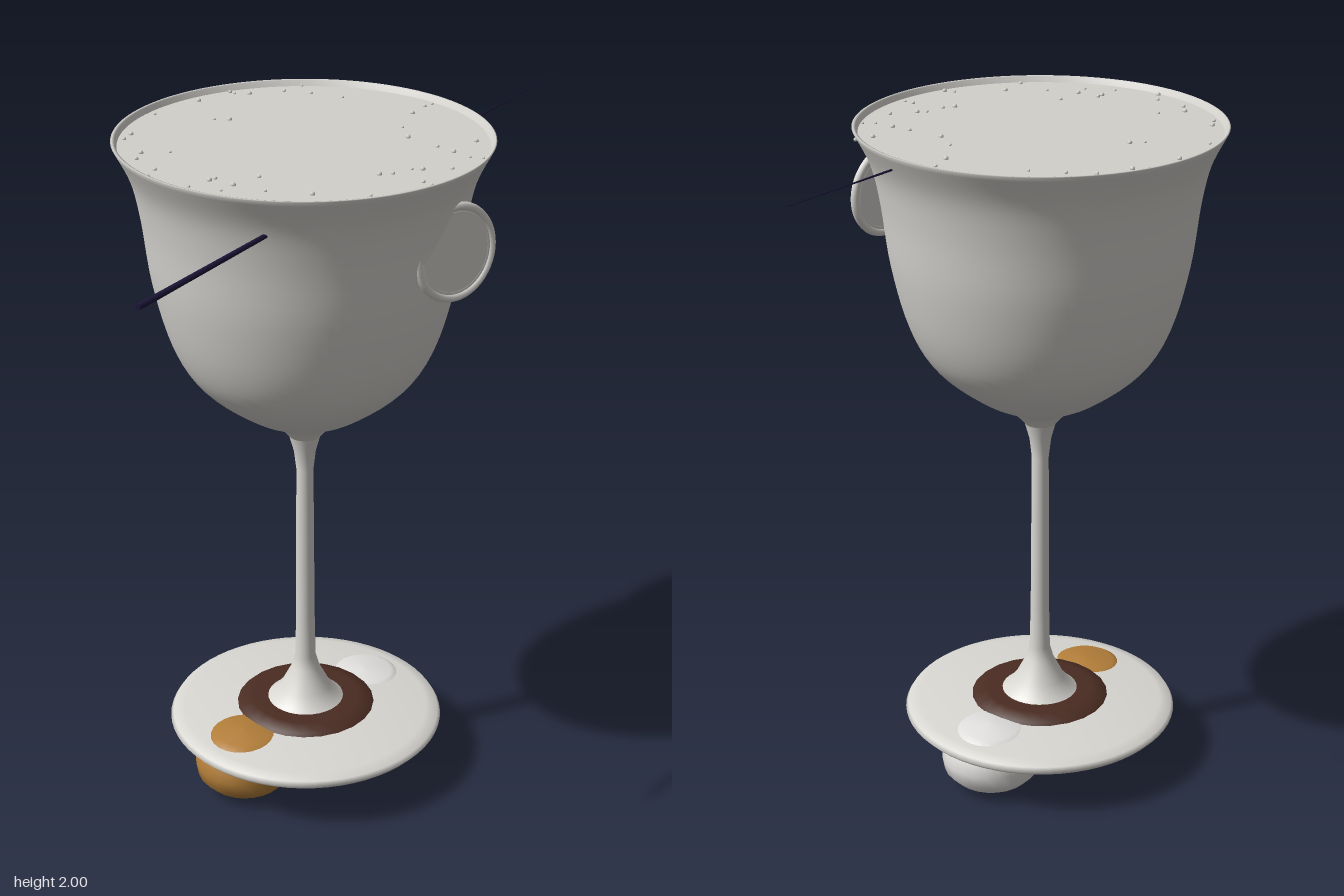
import * as THREE from 'three';

const mat = (name, color) => new THREE.MeshStandardMaterial({ name, color });

export function createModel() {
  const glass = mat('pale glass', 0xd9d7d2);
  const drink = mat('pale drink', 0xd2d0cb);
  const brown = mat('dark brown', 0x4a2c22);
  const gold = mat('amber', 0xb47f3a);
  const white = mat('white', 0xe2e0de);
  const navy = mat('dark navy', 0x1c1638);

  const root = new THREE.Group();
  const cup = new THREE.Group();
  cup.name = 'goblet';
  cup.position.x = -0.06;
  root.add(cup);

  const add = (parent, name, geometry, material, x = 0, y = 0, z = 0) => {
    const m = new THREE.Mesh(geometry, material);
    m.name = name;
    m.position.set(x, y, z);
    parent.add(m);
    return m;
  };
  const lathe = (pts, seg = 64) =>
    new THREE.LatheGeometry(pts.map(([r, y]) => new THREE.Vector2(r, y)), seg);

  // Bowl: smooth outer curve, thin rim, then a short inner wall
  const curve = new THREE.SplineCurve([
    [0.045, 1.10], [0.09, 1.145], [0.19, 1.2], [0.31, 1.3], [0.378, 1.42],
    [0.425, 1.6], [0.449, 1.78], [0.475, 1.9], [0.522, 1.998],
  ].map(([r, y]) => new THREE.Vector2(r, y)));
  const outer = curve.getPoints(40).map((p) => [p.x, p.y]);
  add(cup, 'bowl', lathe([...outer, [0.518, 2], [0.511, 1.998], [0.495, 1.95]], 96), glass);

  // Stem with flared ends
  add(cup, 'stem', lathe([
    [0.13, 0.205], [0.105, 0.22], [0.075, 0.255], [0.042, 0.32], [0.031, 0.36],
    [0.028, 0.5], [0.025, 0.99], [0.032, 1.05], [0.047, 1.105],
  ], 32), glass);

  // Thin rounded foot
  add(cup, 'foot', lathe([
    [0, 0.14], [0.37, 0.138], [0.4, 0.146], [0.413, 0.16], [0.405, 0.173],
    [0.37, 0.183], [0.25, 0.192], [0.12, 0.202], [0, 0.204],
  ]), glass);

  // Pebbles set through the foot
  add(cup, 'centrePebble', lathe([
    [0, 0.005], [0.13, 0.005], [0.16, 0.014], [0.225, 0.052], [0.25, 0.125],
    [0.235, 0.17], [0.2, 0.203], [0.16, 0.214], [0, 0.215],
  ], 24), brown);
  const pebble = lathe([
    [0, 0.02], [0.09, 0.021], [0.115, 0.03], [0.143, 0.06], [0.15, 0.1],
    [0.143, 0.14], [0.12, 0.175], [0.085, 0.197], [0, 0.203],
  ], 24);
  add(cup, 'amberPebble', pebble, gold, -0.25);
  add(cup, 'whitePebble', pebble, white, 0.25);

  // Drink surface
  const surface = add(cup, 'drinkSurface', new THREE.CircleGeometry(0.506, 96), drink, 0, 1.982, 0);
  surface.rotation.x = -Math.PI / 2;

  // Bubbles gathered near the rim (x, z)
  const spots = [
    -.20, -.46, -.03, -.47, .09, -.47, .09, -.45, .12, -.42, .21, -.37, .28, -.37, -.36, -.37,
    -.40, -.35, -.11, -.31, -.08, -.28, .25, -.30, .29, -.21, -.44, -.23, -.48, -.20, -.38, -.18,
    -.55, -.07, -.50, -.10, -.52, .06, -.45, .06, -.43, .06, -.48, .14, -.43, .13, -.34, .13,
    -.40, .22, -.33, .32, -.42, .33, -.23, .43, -.22, .46, -.06, .45, -.06, .48, -.10, .33,
    -.07, .35, -.01, .36, .01, .38, .07, .43, .17, .40, .17, .34, .17, .28, .19, .43,
    .28, .32, .33, .34, .22, .10, .33, .03, .40, .01, .43, .01, .17, .17,
  ];
  const bubbles = new THREE.Group();
  bubbles.name = 'bubbles';
  root.add(bubbles);
  for (let i = 0; i < spots.length; i += 2) {
    const r = 0.004 + 0.0015 * (i % 3);
    add(bubbles, 'bubble', new THREE.SphereGeometry(r, 8, 6), drink, spots[i], 1.984, spots[i + 1]);
  }

  // Round medallion half sunk into the front of the bowl
  const medal = new THREE.Group();
  medal.name = 'medallion';
  medal.position.set(0.065, 1.757, 0.452);
  medal.rotation.set(-0.05, -0.13, 0);
  root.add(medal);
  const disc = add(medal, 'medallionDisc', new THREE.CylinderGeometry(0.125, 0.125, 0.012, 48), glass);
  disc.rotation.x = Math.PI / 2;
  add(medal, 'medallionRim', new THREE.TorusGeometry(0.126, 0.012, 10, 64), glass);
  add(medal, 'medallionInnerRim', new THREE.TorusGeometry(0.111, 0.007, 8, 64), glass);

  // Slender tapering stick passing through the bowl
  const a = new THREE.Vector3(-0.92, 1.848, 0.335);
  const b = new THREE.Vector3(0.92, 1.995, 0.07);
  const dir = b.clone().sub(a);
  const stick = add(root, 'stick', new THREE.CylinderGeometry(0.001, 0.0085, dir.length(), 12), navy);
  stick.position.copy(a).add(b).multiplyScalar(0.5);
  stick.quaternion.setFromUnitVectors(new THREE.Vector3(0, 1, 0), dir.normalize());

  return root;
}
